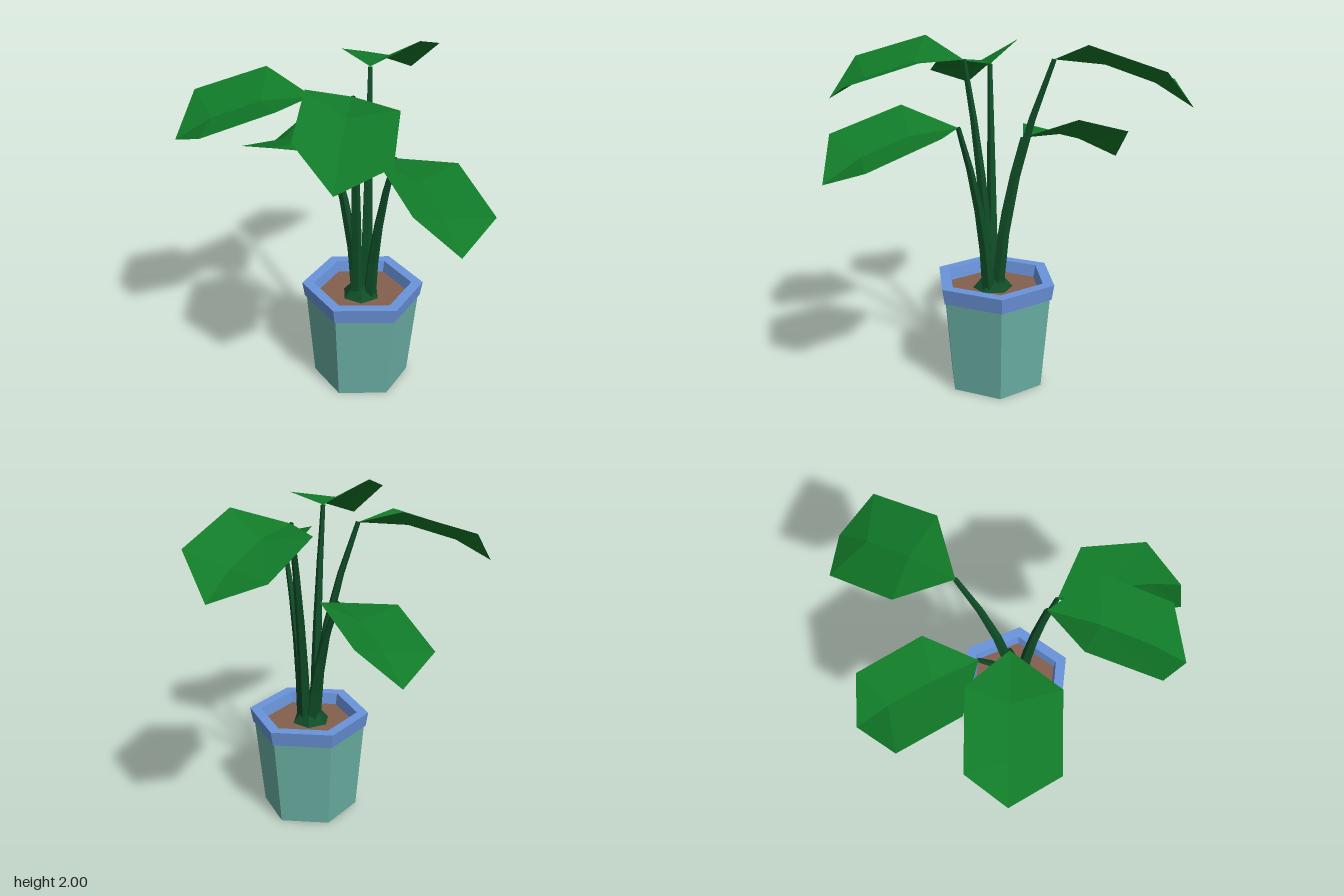
import * as THREE from 'three';

const DS = THREE.DoubleSide;
const material = (name, color, side = THREE.FrontSide) => {
  const m = new THREE.MeshStandardMaterial({ color, side });
  m.name = name;
  return m;
};

// Split the faces so every facet gets its own normal
function faceted(geometry) {
  const g = geometry.index ? geometry.toNonIndexed() : geometry;
  g.computeVertexNormals();
  return g;
}

function addPart(parent, name, geometry, mat) {
  const mesh = new THREE.Mesh(faceted(geometry), mat);
  mesh.name = name;
  parent.add(mesh);
  return mesh;
}

// Folded leaf: base at the origin, growing along +z, drooping at the tip
function leafGeometry() {
  const base = [0, 0, 0], tip = [0, -0.22, 0.755];
  const m1 = [0, -0.016, 0.28], m2 = [0, -0.1, 0.55];
  const l1 = [-0.217, 0.11, 0.235], l2 = [-0.216, -0.01, 0.64];
  const r1 = [0.265, 0.015, 0.212], r2 = [0.266, -0.115, 0.616];
  const faces = [
    base, l1, m1, m1, l1, l2, m1, l2, m2, m2, l2, tip,
    base, m1, r1, m1, r2, r1, m1, m2, r2, m2, tip, r2,
  ];
  const g = new THREE.BufferGeometry();
  g.setAttribute('position', new THREE.Float32BufferAttribute(faces.flat(), 3));
  return g;
}

// Tapered five-sided stalk that leaves the soil upright and bends outwards
function stemGeometry(foot, top) {
  const control = foot.clone().lerp(top, 0.15).setY((foot.y + top.y) / 2);
  const curve = new THREE.QuadraticBezierCurve3(foot, control, top);
  const rings = 4, sides = 5;
  const g = new THREE.TubeGeometry(curve, rings, 0.04, sides);
  const p = g.attributes.position, v = new THREE.Vector3();
  for (let i = 0; i <= rings; i++) {
    const centre = curve.getPointAt(i / rings);
    const scale = 1 - 0.65 * (i / rings);
    for (let j = 0; j <= sides; j++) {
      const k = i * (sides + 1) + j;
      v.fromBufferAttribute(p, k).sub(centre).multiplyScalar(scale).add(centre);
      p.setXYZ(k, v.x, v.y, v.z);
    }
  }
  return g;
}

export function createModel() {
  const model = new THREE.Group();
  model.name = 'pottedPlant';

  const potMat = material('pot teal', 0x6bb0a4, DS);
  const rimMat = material('rim blue', 0x6a94db, DS);
  const soilMat = material('soil brown', 0x84604e);
  const stemMat = material('stem dark green', 0x0f4d27, DS);
  const leafMat = material('leaf green', 0x117a28, DS);

  // Six-sided pot, open underneath
  const pot = new THREE.Group();
  pot.name = 'pot';
  pot.position.set(0.21, 0, 0.037);
  pot.rotation.y = Math.PI / 6;
  model.add(pot);

  addPart(pot, 'potBody', new THREE.CylinderGeometry(0.34, 0.29, 0.56, 6, 1, true), potMat).position.y = 0.28;

  const rimProfile = [[0.33, 0.55], [0.35, 0.55], [0.365, 0.64], [0.295, 0.64], [0.28, 0.56]]
    .map(([x, y]) => new THREE.Vector2(x, y));
  addPart(pot, 'rim', new THREE.LatheGeometry(rimProfile, 6), rimMat);

  const soil = addPart(pot, 'soil', new THREE.CircleGeometry(0.285, 6, Math.PI / 2), soilMat);
  soil.rotation.x = -Math.PI / 2;
  soil.position.y = 0.57;

  // Flared crown where the stalks leave the soil
  const crown = addPart(model, 'crown', new THREE.CylinderGeometry(0.065, 0.115, 0.06, 6), stemMat);
  crown.position.set(0.2, 0.6, 0.05);

  // Stalk foot [x, z], leaf base [x, y, z], heading in degrees from +z towards +x
  const fronds = [
    { foot: [0.23, 0.03], base: [0.245, 1.89, -0.28], heading: 156 },
    { foot: [0.19, 0.02], base: [0.01, 1.41, -0.145], heading: -148.8 },
    { foot: [0.18, 0.05], base: [-0.085, 1.825, 0.035], heading: -84.3 },
    { foot: [0.17, 0.07], base: [0.13, 1.88, 0.2], heading: -8.7 },
    { foot: [0.25, 0.08], base: [0.36, 1.55, 0.25], heading: 21.4 },
  ];
  const leaf = leafGeometry();
  fronds.forEach(({ foot, base, heading }, i) => {
    const top = new THREE.Vector3(...base);
    addPart(model, `stem${i + 1}`, stemGeometry(new THREE.Vector3(foot[0], 0.57, foot[1]), top), stemMat);
    const blade = addPart(model, `leaf${i + 1}`, leaf, leafMat);
    blade.position.copy(top);
    blade.rotation.y = THREE.MathUtils.degToRad(heading);
  });

  return model;
}
